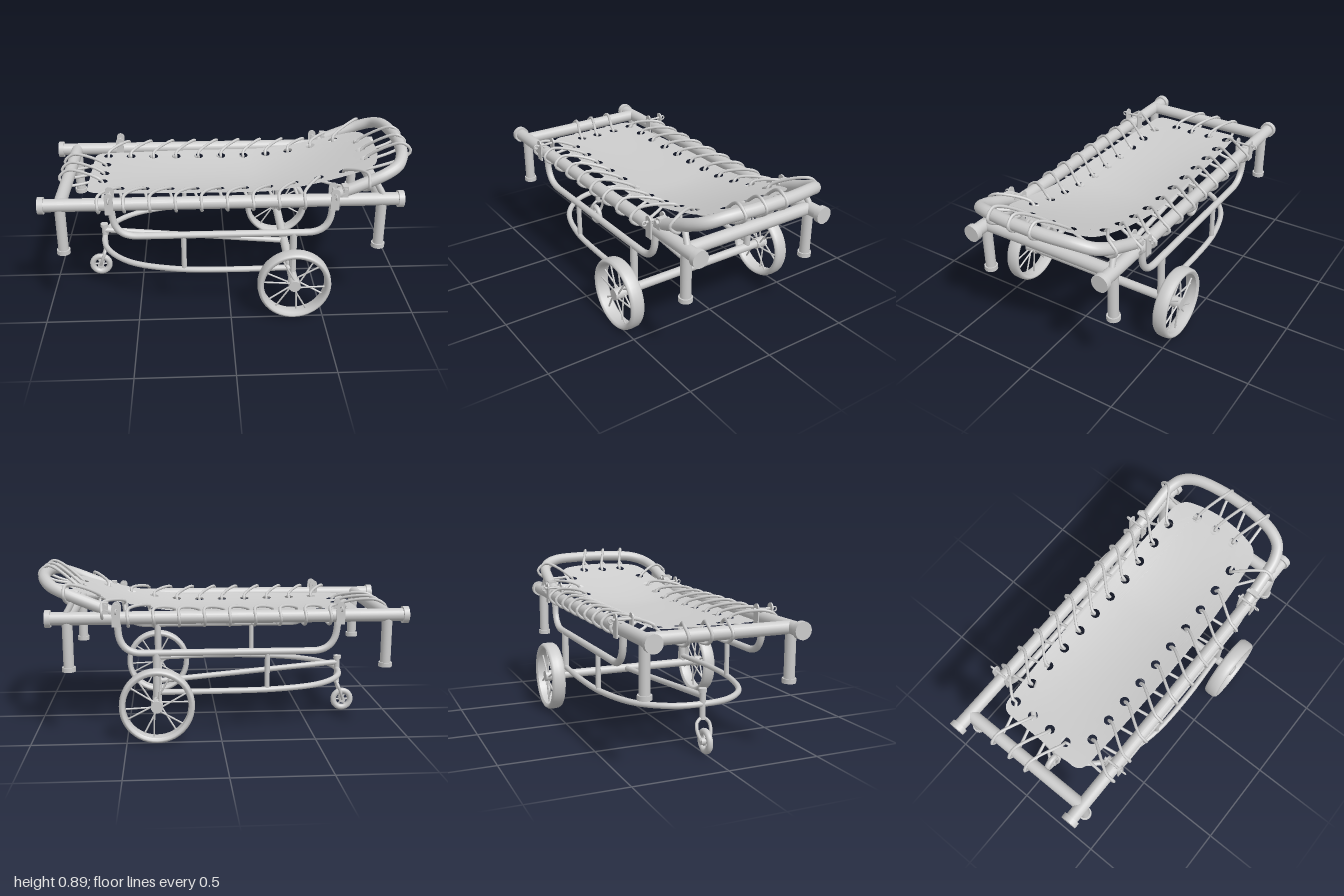
import * as THREE from 'three';
import { mergeVertices } from 'three/addons/utils/BufferGeometryUtils.js';

const V = (x, y, z) => new THREE.Vector3(x, y, z);
const RAIL_Y = 0.655, RAIL_Z = 0.39;

export function createModel() {
  const model = new THREE.Group();
  const mat = new THREE.MeshStandardMaterial({ color: 0xcccccc });
  const clothMat = new THREE.MeshStandardMaterial({ color: 0xcccccc, side: THREE.DoubleSide });

  const add = (name, geo, parent = model, material = mat) => {
    const mesh = new THREE.Mesh(geo, material);
    mesh.name = name;
    parent.add(mesh);
    return mesh;
  };
  // Straight round bar between two points
  const bar = (name, a, b, r, parent = model, sides = 20) => {
    const d = b.clone().sub(a);
    const m = add(name, new THREE.CylinderGeometry(r, r, d.length(), sides), parent);
    m.position.copy(a).add(b).multiplyScalar(0.5);
    m.quaternion.setFromUnitVectors(V(0, 1, 0), d.normalize());
  };
  const tube = (name, curve, r, segs = 64, sides = 12, closed = false) => {
    curve.arcLengthDivisions = Math.max(200, segs);
    add(name, new THREE.TubeGeometry(curve, segs, r, sides, closed));
  };
  // Polyline with rounded corners
  const rounded = (pts, r) => {
    const path = new THREE.CurvePath();
    let from = pts[0];
    for (let i = 1; i < pts.length - 1; i++) {
      const p = pts[i];
      const a = p.clone().add(pts[i - 1].clone().sub(p).setLength(r));
      const b = p.clone().add(pts[i + 1].clone().sub(p).setLength(r));
      path.add(new THREE.LineCurve3(from, a));
      path.add(new THREE.QuadraticBezierCurve3(a, p, b));
      from = b;
    }
    path.add(new THREE.LineCurve3(from, pts[pts.length - 1]));
    return path;
  };

  // Bed frame: cross bars, side rails with end caps, legs with feet
  for (const x of [-0.89, 0.8]) bar('crossBar', V(x, RAIL_Y, -RAIL_Z), V(x, RAIL_Y, RAIL_Z), 0.034);
  for (const s of [-1, 1]) {
    const z = s * RAIL_Z;
    bar('sideRail', V(-0.985, RAIL_Y, z), V(0.9, RAIL_Y, z), 0.035);
    for (const x of [-0.985, 0.898]) bar('railCap', V(x - 0.015, RAIL_Y, z), V(x + 0.015, RAIL_Y, z), 0.046);
    for (const x of [-0.89, 0.8]) {
      bar('leg', V(x, 0.39, z), V(x, RAIL_Y, z), 0.028);
      bar('foot', V(x, 0.373, z), V(x, 0.397, z), 0.036);
    }

    // Curved side hanger with brackets and eye bolts
    tube('sideHanger', rounded([V(-0.63, 0.69, z), V(-0.61, 0.465, z), V(0.53, 0.465, z), V(0.545, 0.69, z)], 0.12), 0.019, 90);
    for (const x of [-0.63, 0.545]) {
      for (const dz of [-0.042, 0.042]) {
        const plate = add('bracketPlate', new THREE.BoxGeometry(0.045, 0.1, 0.008));
        plate.position.set(x, 0.665, z + dz);
        bar('bracketTop', V(x, 0.713, z + dz - 0.004), V(x, 0.713, z + dz + 0.004), 0.0225);
      }
      bar('bracketBolt', V(x, 0.705, z - 0.06), V(x, 0.705, z + 0.06), 0.007, model, 10);
      const eye = add('boltEye', new THREE.TorusGeometry(0.012, 0.004, 8, 16));
      eye.position.set(x, 0.7, z + s * 0.066);
      eye.rotation.y = Math.PI / 2;
    }

    // Posts from hanger down to the base
    bar('frontPost', V(-0.25, 0.255, z), V(-0.25, 0.465, z), 0.014);
    bar('axlePost', V(0.34, 0.205, z), V(0.34, 0.465, z), 0.02);

    // Headrest hinge and prop
    bar('headrestProp', V(0.76, 0.76, s * 0.375), V(0.81, 0.67, z), 0.016);
    const hinge = add('headrestHinge', new THREE.BoxGeometry(0.03, 0.07, 0.05));
    hinge.position.set(0.6, 0.705, z);
    bar('hingePin', V(0.6, 0.72, z - 0.04), V(0.6, 0.72, z + 0.04), 0.012);
  }

  // Raised headrest hoop and bowed base hoop, each mirrored across z
  const mirrored = half => new THREE.CatmullRomCurve3(
    [...half, ...half.slice(0, -1).reverse().map(p => V(p.x, p.y, -p.z))], false, 'centripetal');
  tube('headrestHoop', mirrored([V(0.56, 0.685, -0.385), V(0.7, 0.74, -0.38), V(0.81, 0.785, -0.37),
    V(0.88, 0.815, -0.335), V(0.92, 0.838, -0.26), V(0.945, 0.846, -0.12), V(0.95, 0.848, 0)]), 0.032, 80, 16);
  tube('baseHoop', mirrored([V(0.34, 0.25, 0.39), V(0, 0.255, 0.405), V(-0.3, 0.255, 0.385), V(-0.55, 0.255, 0.3),
    V(-0.68, 0.258, 0.16), V(-0.715, 0.26, 0)]), 0.016, 100);
  bar('centreBar', V(-0.715, 0.302, 0), V(0.34, 0.205, 0), 0.016);
  bar('axle', V(0.34, 0.205, -0.5), V(0.34, 0.205, 0.5), 0.025);

  // Large spoked wheels
  const tyreProfile = [[0.168, -0.03], [0.18, -0.04], [0.189, -0.038], [0.197, -0.026], [0.199, 0],
    [0.197, 0.026], [0.189, 0.038], [0.18, 0.04], [0.168, 0.03], [0.164, 0], [0.168, -0.03]]
    .map(([r, y]) => new THREE.Vector2(r, y));
  for (const s of [-1, 1]) {
    const wheel = new THREE.Group();
    wheel.name = 'wheel';
    wheel.position.set(0.34, 0.205, s * 0.488);
    add('tyre', new THREE.LatheGeometry(tyreProfile, 48), wheel).rotation.x = Math.PI / 2;
    bar('hub', V(0, 0, -0.033), V(0, 0, 0.033), 0.032, wheel);
    for (let i = 0; i < 12; i++) {
      const k = i % 2 ? 1 : -1, a = i * Math.PI / 6, b = a + k * 0.42;
      bar('spoke', V(Math.cos(a) * 0.028, Math.sin(a) * 0.028, k * 0.018),
        V(Math.cos(b) * 0.17, Math.sin(b) * 0.17, k * 0.006), 0.005, wheel, 8);
    }
    model.add(wheel);
  }

  // Caster: stem, fork and small wheel
  bar('casterStem', V(-0.715, 0.18, 0), V(-0.715, 0.33, 0), 0.016);
  bar('casterCap', V(-0.715, 0.322, 0), V(-0.715, 0.342, 0), 0.022);
  tube('casterFork', new THREE.CatmullRomCurve3([V(-0.75, 0.078, 0.024), V(-0.735, 0.125, 0.038), V(-0.72, 0.165, 0.033),
    V(-0.715, 0.188, 0), V(-0.72, 0.165, -0.033), V(-0.735, 0.125, -0.038), V(-0.75, 0.078, -0.024)]), 0.009, 40, 10);
  const caster = new THREE.Group();
  caster.name = 'casterWheel';
  caster.position.set(-0.75, 0.075, 0);
  add('casterTyre', new THREE.TorusGeometry(0.05, 0.017, 14, 36), caster);
  bar('casterHub', V(0, 0, -0.028), V(0, 0, 0.028), 0.018, caster);
  for (let i = 0; i < 6; i++) {
    const a = i * Math.PI / 3;
    bar('casterSpoke', V(0, 0, 0), V(Math.cos(a) * 0.045, Math.sin(a) * 0.045, 0), 0.005, caster, 8);
  }
  model.add(caster);

  // Lacing holes, in order round the cloth
  const holes = [];
  for (let i = 0; i < 11; i++) holes.push({ x: -0.69 + i * 0.133, z: -0.24, side: 'back' });
  for (const z of [-0.125, 0, 0.125]) holes.push({ x: 0.755, z, side: 'head' });
  for (let i = 9; i >= 0; i--) holes.push({ x: -0.59 + i * 0.135, z: 0.21, side: 'front' });
  for (const z of [0.11, 0, -0.12]) holes.push({ x: -0.69, z, side: 'foot' });

  // Cloth: outline with holes, subdivided, then sagged and raised at the head
  const clothY = (x, z) => {
    const rise = Math.max(0, (x - 0.15) / 0.69), along = Math.max(0, 1 - (x / 0.8) ** 2);
    return 0.67 + 0.14 * rise ** 1.6 - 0.035 * along * Math.max(0, 1 - (z / 0.3) ** 2);
  };
  const outline = new THREE.Shape();
  outline.moveTo(-0.7, -0.28);
  outline.quadraticCurveTo(0.2, -0.34, 0.7, -0.28);
  outline.quadraticCurveTo(0.79, -0.27, 0.805, -0.2);
  outline.quadraticCurveTo(0.86, 0, 0.805, 0.2);
  outline.quadraticCurveTo(0.79, 0.27, 0.7, 0.28);
  outline.quadraticCurveTo(0.2, 0.33, -0.7, 0.28);
  outline.quadraticCurveTo(-0.76, 0.275, -0.765, 0.22);
  outline.lineTo(-0.765, -0.22);
  outline.quadraticCurveTo(-0.76, -0.275, -0.7, -0.28);
  for (const h of holes) outline.holes.push(new THREE.Path().absarc(h.x, h.z, 0.026, 0, Math.PI * 2, true));
  const flat = new THREE.ShapeGeometry(outline, 10).toNonIndexed().attributes.position;
  const out = [];
  // Halve the longest edge of a triangle until all edges are short
  const split = (a, b, c) => {
    const ab = a.distanceTo(b), longest = Math.max(ab, b.distanceTo(c), c.distanceTo(a));
    if (longest < 0.07) {
      for (const p of [a, c, b]) out.push(p.x, clothY(p.x, p.y), p.y);
    } else if (ab < longest) {
      split(b, c, a);
    } else {
      const m = a.clone().add(b).multiplyScalar(0.5);
      split(a, m, c);
      split(m, b, c);
    }
  };
  for (let i = 0; i < flat.count; i += 3)
    split(...[0, 1, 2].map(k => new THREE.Vector3().fromBufferAttribute(flat, i + k)));
  let cloth = new THREE.BufferGeometry();
  cloth.setAttribute('position', new THREE.Float32BufferAttribute(out, 3));
  cloth = mergeVertices(cloth, 1e-5);
  cloth.computeVertexNormals();
  add('cloth', cloth, model, clothMat);

  // Rope: up through each hole, over and round the nearest bar, back under the cloth
  const wrap = {
    back: h => h.x > 0.6 ? [V(0.8, 0.782, -0.372), V(0.2, 0, -1)] : [V(h.x + 0.11, h.x > 0.45 ? 0.69 : RAIL_Y, -RAIL_Z), V(0, 0, -1)],
    head: h => [V(0.935, 0.845, h.z + 0.07), V(1, 0, 0)],
    front: h => h.x > 0.6 ? [V(0.72, 0.75, 0.38), V(0, 0, 1)] : [V(h.x - 0.1, RAIL_Y, RAIL_Z), V(0, 0, 1)],
    foot: h => [V(-0.89, RAIL_Y, h.z - 0.07), V(-1, 0, 0)],
  };
  const up = V(0, 0.046, 0), rope = [];
  for (const h of holes) {
    const [c, dir] = wrap[h.side](h);
    const y = clothY(h.x, h.z), o = dir.clone().setLength(0.05);
    rope.push(V(h.x, y - 0.012, h.z), V(h.x, y + 0.014, h.z).addScaledVector(dir, 0.02),
      c.clone().add(up), c.clone().add(o), c.clone().sub(up));
  }
  tube('lacingRope', new THREE.CatmullRomCurve3(rope, true, 'centripetal'), 0.0085, 900, 8, true);

  return model;
}
